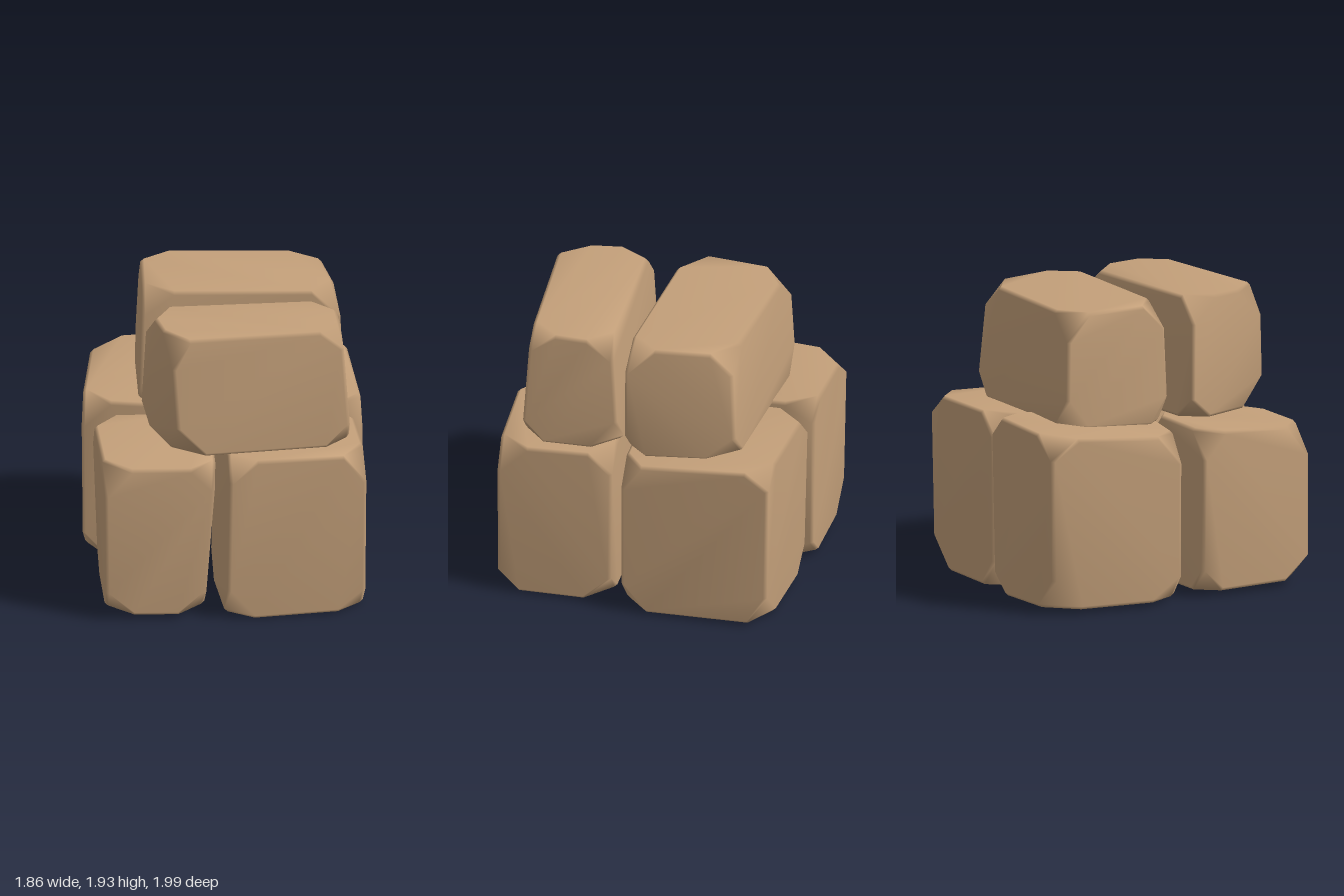
import * as THREE from 'three';
import { ConvexGeometry } from 'three/addons/geometries/ConvexGeometry.js';
import { mergeVertices } from 'three/addons/utils/BufferGeometryUtils.js';

// Each stone: base and top corners [x, y, z], in order back-left, back-right, front-right, front-left of the plan
const STONES = {
  lowerFrontLeftStone: {
    base: [[-0.1, 0.01, 0.2], [0.82, 0.01, 0.08], [0.92, 0.01, 0.83], [0.02, 0.0, 0.99]],
    top: [[-0.06, 1.12, 0.2], [0.82, 1.13, 0.07], [0.93, 1.11, 0.83], [0.04, 1.12, 0.98]],
  },
  lowerFrontRightStone: {
    base: [[-0.83, 0.03, 0.18], [-0.15, 0.02, 0.15], [-0.13, 0.02, 0.94], [-0.77, 0.04, 1.0]],
    top: [[-0.87, 1.12, 0.18], [-0.1, 1.12, 0.14], [-0.05, 1.06, 0.95], [-0.78, 1.07, 0.99]],
  },
  lowerBackRightStone: {
    base: [[-0.86, 0.03, -0.92], [-0.11, 0.02, -0.98], [-0.1, 0.02, 0.09], [-0.93, 0.03, -0.02]],
    top: [[-0.87, 1.19, -0.94], [-0.1, 1.22, -1.0], [-0.06, 1.13, 0.1], [-0.94, 1.13, -0.02]],
  },
  lowerBackLeftStone: {
    base: [[-0.05, 0.02, -0.95], [0.76, 0.02, -0.98], [0.89, 0.01, -0.02], [-0.06, 0.01, 0.09]],
    top: [[-0.07, 1.2, -0.97], [0.77, 1.18, -1.0], [0.9, 1.12, -0.02], [-0.06, 1.12, 0.1]],
  },
  upperBackStone: {
    base: [[-0.6, 1.17, -0.69], [0.65, 1.16, -0.73], [0.78, 1.12, 0.0], [-0.56, 1.12, 0.08]],
    top: [[-0.56, 1.93, -0.66], [0.59, 1.92, -0.68], [0.75, 1.92, 0.01], [-0.54, 1.93, 0.05]],
  },
  upperFrontStone: {
    base: [[-0.56, 1.12, 0.25], [0.75, 1.13, 0.05], [0.83, 1.12, 0.7], [-0.29, 1.12, 0.91]],
    top: [[-0.51, 1.93, 0.28], [0.71, 1.91, 0.11], [0.77, 1.92, 0.66], [-0.35, 1.93, 0.86]],
  },
};

// Small seeded generator for uneven corner cuts
function seeded(seed) {
  let s = seed;
  return () => (s = (s * 16807) % 2147483647) / 2147483647;
}

// Six-sided block with narrow bevelled edges and broad chipped corners
function stoneGeometry({ base, top }, rand) {
  const corners = [base, top].map((ring) => ring.map((p) => new THREE.Vector3(...p)));
  const points = [];
  for (let level = 0; level < 2; level++) {
    for (let i = 0; i < 4; i++) {
      const corner = corners[level][i];
      const edges = [
        corners[level][(i + 1) % 4],
        corners[level][(i + 3) % 4],
        corners[1 - level][i],
      ].map((end) => end.clone().sub(corner).normalize());
      const chips = edges.map(() => 0.13 + 0.08 * rand());
      // Two points on each of the three faces that meet at this corner
      for (let a = 0; a < 3; a++) {
        for (let b = 0; b < 3; b++) {
          if (a === b) continue;
          points.push(corner.clone().addScaledVector(edges[a], chips[a]).addScaledVector(edges[b], 0.022));
        }
      }
    }
  }
  const hull = new ConvexGeometry(points);
  hull.deleteAttribute('normal');
  const geometry = mergeVertices(hull, 1e-4);
  geometry.computeVertexNormals();
  return geometry;
}

export function createModel() {
  const group = new THREE.Group();
  group.name = 'stonePile';
  const sandstone = new THREE.MeshStandardMaterial({ color: 0xc4a07a });
  sandstone.name = 'sandstone';
  const rand = seeded(4711);
  for (const [name, shape] of Object.entries(STONES)) {
    const stone = new THREE.Mesh(stoneGeometry(shape, rand), sandstone);
    stone.name = name;
    group.add(stone);
  }
  return group;
}
